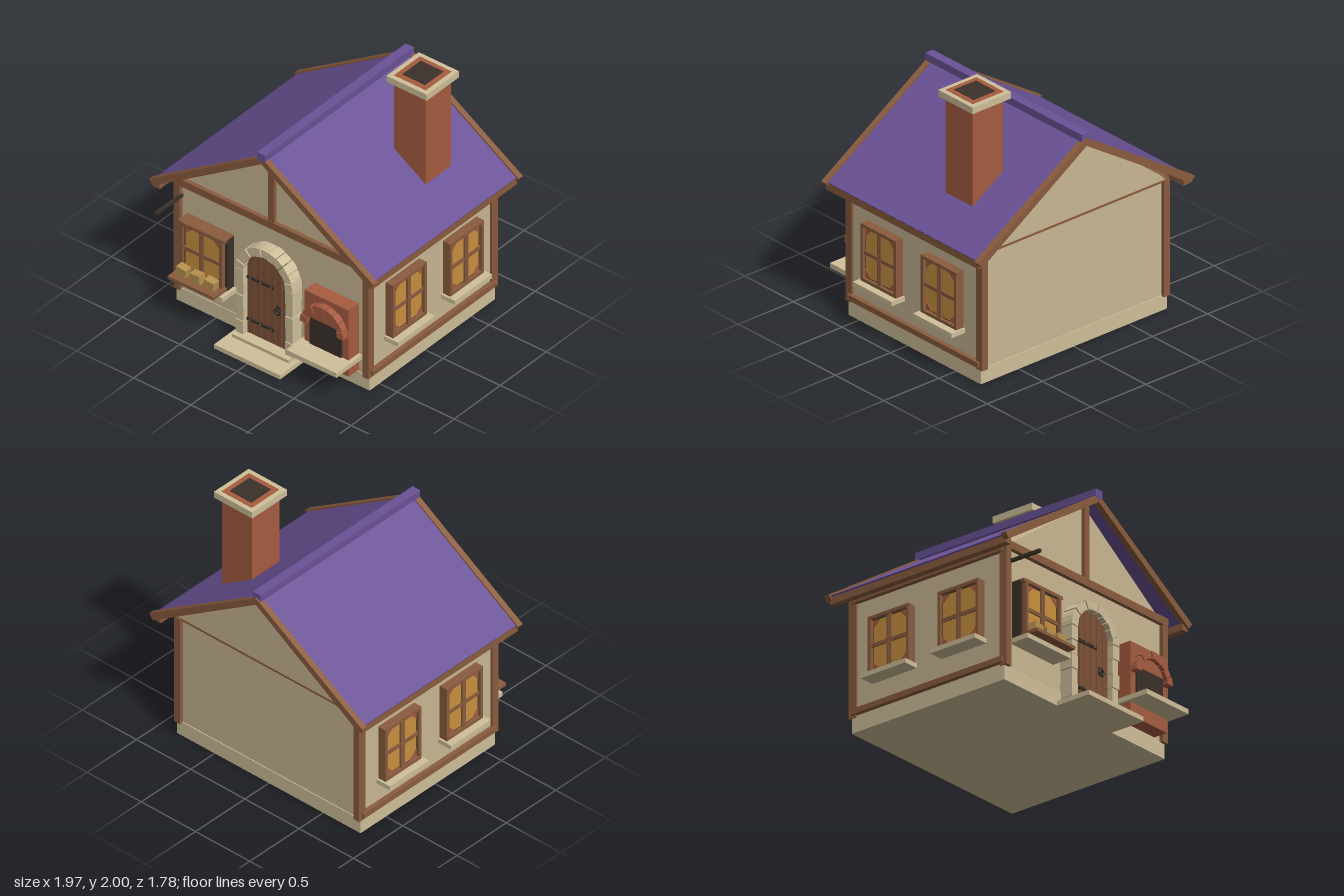
import * as THREE from 'three';

const colours = {
  plaster: 0xc9b794, stone: 0xcfbf9a, timber: 0x8a5c3e, doorWood: 0x7d5138, roofPurple: 0x6a5296,
  brick: 0xa65c40, amberGlass: 0xc9903f, darkIron: 0x393129, bread: 0xb8924f,
};
const M = {};
for (const [name, color] of Object.entries(colours)) {
  M[name] = new THREE.MeshStandardMaterial({ color });
  M[name].name = name;
}

function add(parent, name, geo, mat) {
  const m = new THREE.Mesh(geo, mat);
  m.name = name;
  parent.add(m);
  return m;
}

// Box given by its lower and upper limits on each axis
function box(parent, name, mat, x0, x1, y0, y1, z0, z1) {
  const m = add(parent, name, new THREE.BoxGeometry(x1 - x0, y1 - y0, z1 - z0), mat);
  m.position.set((x0 + x1) / 2, (y0 + y1) / 2, (z0 + z1) / 2);
  return m;
}

// Flat outline pushed from z0 to z1
function prism(parent, name, mat, pts, z0, z1) {
  const shape = new THREE.Shape(pts.map(([x, y]) => new THREE.Vector2(x, y)));
  const geo = new THREE.ExtrudeGeometry(shape, { depth: z1 - z0, bevelEnabled: false });
  geo.translate(0, 0, z0);
  return add(parent, name, geo, mat);
}

// Half ring of wedge stones around (cx, cy)
function archStones(parent, name, mat, cx, cy, ri, ro, n, z0, z1) {
  for (let i = 0; i < n; i++) {
    const a = (i / n) * Math.PI + 0.012, b = ((i + 1) / n) * Math.PI - 0.012;
    const r = ro - (i % 2) * 0.004;
    const p = (rad, t) => [cx + rad * Math.cos(t), cy + rad * Math.sin(t)];
    prism(parent, name, mat, [p(ri, a), p(r, a), p(r, (a + b) / 2), p(r, b), p(ri, b), p(ri, (a + b) / 2)], z0, z1 - (i % 2) * 0.005);
  }
}

// Window facing +z, centred on the origin, back on z = 0
function makeWindow(name, w, h, depth) {
  const g = new THREE.Group();
  g.name = name;
  const x = w / 2, y = h / 2, t = 0.024, q = t + 0.01, d = depth - 0.025;
  box(g, 'windowBacking', M.darkIron, -x + 0.005, x - 0.005, -y + 0.005, y - 0.005, 0, d);
  box(g, 'windowGlass', M.amberGlass, -x + q, x - q, -y + q, y - q, d, d + 0.005);
  // Curtain corners
  for (const sx of [-1, 1]) for (const sy of [-1, 1]) {
    const cx = sx * (x - q), cy = sy * (y - q);
    const pts = [[cx, cy], [cx - sx * 0.06, cy], [cx, cy - sy * 0.06]];
    prism(g, 'curtainCorner', M.brick, pts, d + 0.004, d + 0.009);
  }
  // Frame, mullion and glazing bar
  for (const s of [-1, 1]) {
    box(g, 'windowJamb', M.timber, s * (x - t / 2) - t / 2, s * (x - t / 2) + t / 2, -y, y, 0, depth);
    box(g, 'windowRail', M.timber, -x + t, x - t, s * (y - t / 2) - t / 2, s * (y - t / 2) + t / 2, 0, depth);
    box(g, 'windowMullion', M.timber, s * 0.01 - 0.008, s * 0.01 + 0.008, -y + t, y - t, d, depth - 0.005);
  }
  box(g, 'glazingBar', M.timber, -x + t, x - t, -0.014, 0.014, d, depth - 0.01);
  return g;
}

export function createModel() {
  const house = new THREE.Group();
  house.name = 'cottage';

  // Walls, gables and plinth
  box(house, 'plinth', M.stone, -0.845, 0.845, 0, 0.115, -0.757, 0.606);
  box(house, 'walls', M.plaster, -0.835, 0.835, 0.115, 1.0, -0.75, 0.6);
  prism(house, 'gable', M.plaster, [[-0.83, 1.0], [0.83, 1.0], [0.78, 1.05], [0, 1.6], [-0.78, 1.05]], -0.765, 0.6);

  // Timber frame
  for (const s of [-1, 1]) {
    const x0 = s > 0 ? 0.8 : -0.853, x1 = x0 + 0.053;
    box(house, 'cornerPost', M.timber, x0, x1, 0.11, 1.0, 0.57, 0.63);
    box(house, 'cornerPost', M.timber, x0, x1, 0.11, 1.0, -0.78, -0.715);
    const b0 = s > 0 ? 0.83 : -0.87, b1 = b0 + 0.04;
    box(house, 'lowerSideBeam', M.timber, b0, b1, 0.13, 0.172, -0.75, 0.6);
    box(house, 'upperSideBeam', M.timber, b0, b1, 0.965, 1.008, -0.75, 0.6);
    const e0 = s > 0 ? 0.905 : -0.955;
    box(house, 'eaveBoard', M.timber, e0, e0 + 0.05, 0.962, 1.015, -0.86, 0.715);
  }
  box(house, 'frontTieBeam', M.timber, -0.853, 0.853, 0.992, 1.05, 0.57, 0.632);
  box(house, 'backTieBeam', M.timber, -0.84, 0.84, 0.99, 1.005, -0.77, -0.74);
  box(house, 'kingPost', M.timber, -0.025, 0.025, 1.05, 1.6, 0.58, 0.63);

  // Roof slopes, barge boards and ridge
  for (const s of [-1, 1]) {
    const slope = (pts) => pts.map(([x, y]) => [s * x, y]);
    prism(house, 'roofSlope', M.roofPurple, slope([[0, 1.64], [0.96, 1.025], [0.945, 1.0], [0, 1.605]]), -0.86, 0.71);
    const board = slope([[0, 1.652], [0.983, 1.025], [0.95, 0.982], [0, 1.595]]);
    prism(house, 'bargeBoard', M.timber, board, 0.69, 0.735);
    prism(house, 'bargeBoard', M.timber, board, -0.89, -0.845);
  }
  prism(house, 'ridgeCap', M.roofPurple, [[-0.035, 1.685], [-0.035, 1.63], [0, 1.61], [0.035, 1.63], [0.035, 1.685]], -0.88, 0.737);

  // Chimney
  box(house, 'chimneyStack', M.brick, 0.403, 0.68, 1.1, 1.95, -0.485, -0.207);
  box(house, 'chimneyCap', M.stone, 0.365, 0.717, 1.943, 1.994, -0.525, -0.173);
  box(house, 'chimneyRim', M.brick, 0.403, 0.68, 1.993, 1.997, -0.488, -0.21);
  box(house, 'chimneyOpening', M.darkIron, 0.442, 0.64, 1.996, 2.0, -0.45, -0.25);

  // Side windows with sills
  for (const s of [-1, 1]) for (const z of [0.238, -0.384]) {
    const w = makeWindow('sideWindow', 0.365, 0.44, 0.07);
    w.rotation.y = s * Math.PI / 2;
    w.position.set(s * 0.832, 0.58, z);
    house.add(w);
    const x0 = s > 0 ? 0.83 : -0.957;
    box(house, 'sideSill', M.stone, x0, x0 + 0.127, 0.325, 0.36, z - 0.2, z + 0.2);
  }

  // Front window with shelf and loaves
  const front = makeWindow('frontWindow', 0.37, 0.43, 0.06);
  front.position.set(-0.55, 0.55, 0.65);
  house.add(front);
  box(house, 'frontWindowCasing', M.darkIron, -0.755, -0.345, 0.335, 0.762, 0.59, 0.675);
  box(house, 'frontWindowHead', M.timber, -0.755, -0.345, 0.745, 0.767, 0.6, 0.705);
  box(house, 'frontSill', M.stone, -0.777, -0.323, 0.295, 0.33, 0.59, 0.757);
  box(house, 'servingShelf', M.timber, -0.752, -0.348, 0.336, 0.361, 0.62, 0.82);
  [-0.675, -0.552, -0.432].forEach((x, i) => {
    const loaf = box(house, 'loaf', M.bread, x - 0.042, x + 0.042, 0.362, 0.432, 0.712, 0.775);
    loaf.rotation.z = [-0.12, 0.08, -0.09][i];
  });

  // Door with planks
  const R = 0.183, cy = 0.6;
  const backing = [[-R, 0.06], [R, 0.06]];
  for (let i = 0; i <= 16; i++) backing.push([R * Math.cos(i * Math.PI / 16), cy + R * Math.sin(i * Math.PI / 16)]);
  prism(house, 'doorBacking', M.darkIron, backing, 0.58, 0.64);
  const top = (x) => cy + Math.sqrt(Math.max(0, R * R - x * x));
  for (let i = 0; i < 6; i++) {
    const a = -R + i * R / 3 + 0.003, b = a + R / 3 - 0.006;
    const pts = [[a, 0.06], [b, 0.06]];
    for (let k = 0; k <= 4; k++) {
      const x = b + (a - b) * k / 4;
      pts.push([x, top(x)]);
    }
    prism(house, 'doorPlank', M.doorWood, pts, 0.62, 0.66);
  }
  for (const y of [0.18, 0.533]) {
    box(house, 'doorHinge', M.darkIron, -0.178, 0.055, y - 0.011, y + 0.011, 0.655, 0.672);
    for (const x of [-0.15, -0.06, 0.035]) box(house, 'hingeRivet', M.timber, x - 0.006, x + 0.006, y - 0.006, y + 0.006, 0.67, 0.676);
  }
  box(house, 'handlePlate', M.darkIron, 0.077, 0.113, 0.35, 0.4, 0.655, 0.67);
  const ring = add(house, 'handleRing', new THREE.TorusGeometry(0.024, 0.007, 6, 16), M.darkIron);
  ring.position.set(0.095, 0.36, 0.678);

  // Stone door surround and steps
  archStones(house, 'archStone', M.stone, 0, cy, 0.183, 0.25, 11, 0.59, 0.707);
  for (const s of [-1, 1]) for (let i = 0; i < 5; i++) {
    const y0 = 0.06 + i * 0.108, w = 0.25 - (i % 2) * 0.006;
    const x0 = s > 0 ? 0.183 : -w;
    box(house, 'jambStone', M.stone, x0, x0 + w - 0.183, y0 + 0.002, y0 + 0.106, 0.59, 0.705 - (i % 2) * 0.005);
  }
  box(house, 'lowerStep', M.stone, -0.288, 0.288, 0, 0.035, 0.59, 0.89);
  box(house, 'upperStep', M.stone, -0.247, 0.247, 0.035, 0.06, 0.59, 0.745);

  // Brick oven
  box(house, 'ovenBody', M.brick, 0.36, 0.745, 0.13, 0.688, 0.59, 0.71);
  box(house, 'ovenMouth', M.darkIron, 0.415, 0.69, 0.27, 0.505, 0.7, 0.725);
  archStones(house, 'ovenArchBrick', M.brick, 0.552, 0.462, 0.135, 0.19, 9, 0.7, 0.767);
  const lintel = [];
  for (let i = 0; i <= 10; i++) {
    const t = 0.31 + i * (Math.PI - 0.62) / 10;
    lintel.push([0.552 + 0.134 * Math.cos(t), 0.462 + 0.134 * Math.sin(t)]);
  }
  prism(house, 'ovenLintel', M.brick, lintel, 0.7, 0.735);
  box(house, 'ovenShelf', M.stone, 0.334, 0.775, 0.23, 0.268, 0.59, 0.88);

  // Iron sign bracket
  box(house, 'signBracket', M.darkIron, -0.81, -0.788, 0.89, 0.912, 0.6, 0.89);

  return house;
}
